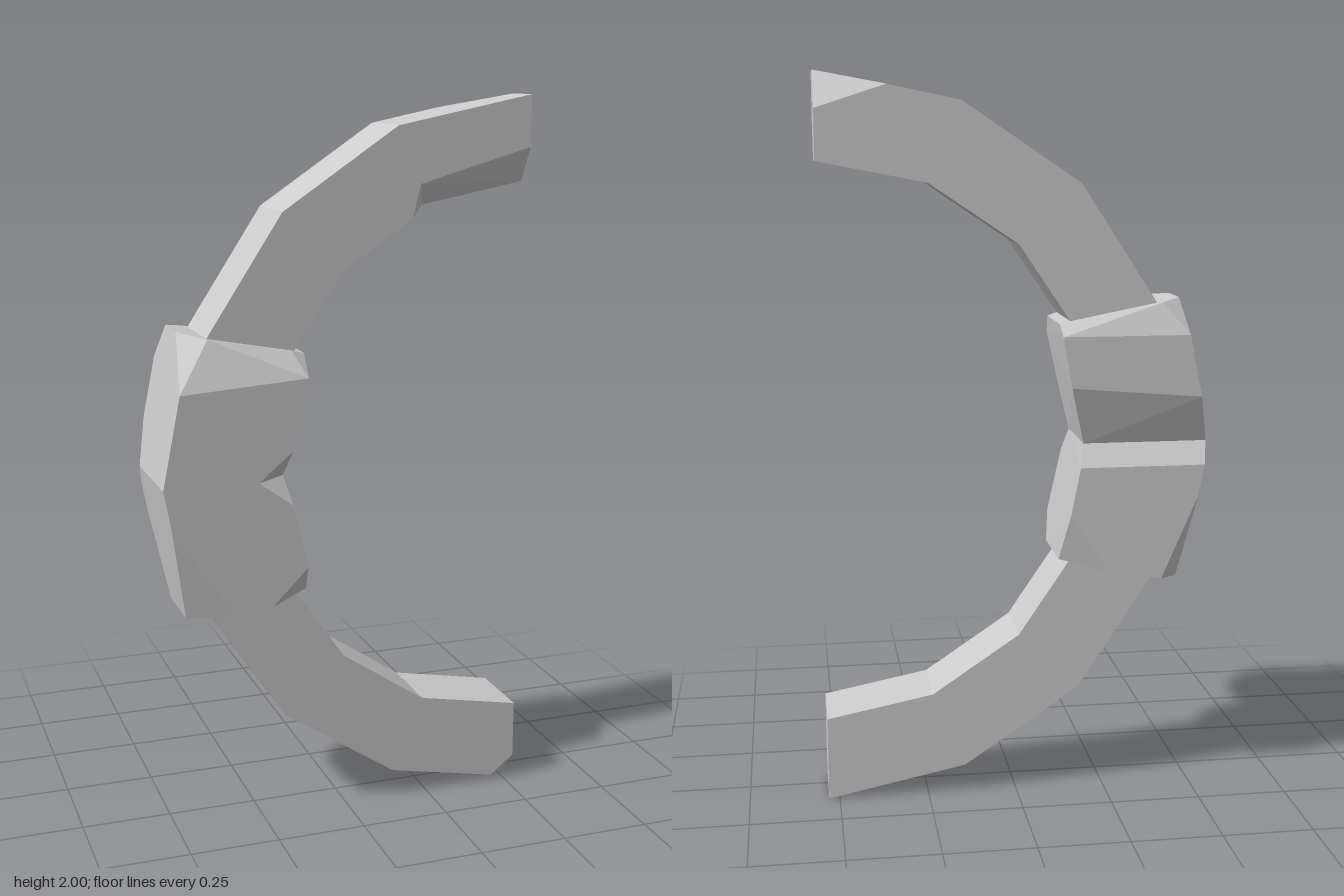
import * as THREE from 'three';
import { ConvexGeometry } from 'three/addons/geometries/ConvexGeometry.js';

const material = new THREE.MeshStandardMaterial({ color: 0xcccccc, flatShading: true });
const FRONT = 0.095, BACK = -0.112;

// Faceted solid spanned by its corner points
function block(name, points) {
  const mesh = new THREE.Mesh(new ConvexGeometry(points.map((p) => new THREE.Vector3(...p))), material);
  mesh.name = name;
  return mesh;
}

// Stations of a limb from tip to grip: [outer x, outer y, inner x, inner y], y above the middle
const stations = [
  [0.53, 1.0, 0.53, 0.765],
  [0.145, 0.922, 0.235, 0.708],
  [-0.178, 0.705, -0.008, 0.545],
  [-0.42, 0.335, -0.17, 0.305],
];

// chips: corner key (station + o/i + f/b) -> points that replace that corner, per segment
function limb(name, side, chips) {
  const group = new THREE.Group();
  group.name = name;
  for (let s = 0; s < 3; s++) {
    const points = [];
    for (const k of [s, s + 1]) {
      const [ox, oy, ix, iy] = stations[k];
      for (const [edge, x, y] of [['o', ox, oy], ['i', ix, iy]]) {
        for (const [face, z] of [['f', FRONT], ['b', BACK]]) {
          const key = k + edge + face;
          points.push(...(chips[s + key] || chips[key] || [[x, 1 + side * y, z]]));
        }
      }
    }
    group.add(block(name + 'Segment', points));
  }
  return group;
}

export function createModel() {
  const model = new THREE.Group();
  model.name = 'bow';

  // Upper limb: long chip under the front edge, small chip at the back of the tip
  model.add(limb('upperLimb', 1, {
    '0if': [[0.53, 1.86, FRONT], [0.53, 1.765, 0.04]],
    '01if': [[0.21, 1.768, FRONT], [0.235, 1.708, 0.04]],
    '11if': [[0.21, 1.768, FRONT], [0.235, 1.708, 0.04], [0.187, 1.676, FRONT]],
    '0ob': [[0.53, 2, -0.025], [0.34, 1.962, BACK], [0.53, 1.9, BACK]],
  }));

  // Lower limb: small chip at the front of the tip
  model.add(limb('lowerLimb', -1, {
    '0of': [[0.53, 0, 0.035], [0.53, 0.07, FRONT], [0.46, 0.014, FRONT]],
  }));

  // Grip: two chipped halves meeting at a waist
  const waist = [
    [-0.53, 1, 0.165], [-0.53, 1, -0.125], [-0.185, 1, -0.125],
    [-0.185, 1, 0.1], [-0.27, 1, 0.165],
  ];
  const grip = new THREE.Group();
  grip.name = 'grip';
  grip.add(block('upperGrip', [
    ...waist,
    // front face
    [-0.175, 1.08, 0.165], [-0.13, 1.275, 0.165], [-0.48, 1.25, 0.165],
    // back face
    [-0.145, 1.16, -0.17], [-0.12, 1.3, -0.17], [-0.47, 1.3, -0.17], [-0.505, 1.13, -0.17],
    // top
    [-0.12, 1.33, 0.09], [-0.16, 1.34, 0.11], [-0.39, 1.383, 0.11], [-0.455, 1.395, 0.03],
    [-0.455, 1.395, -0.09], [-0.4, 1.385, -0.13], [-0.117, 1.33, -0.13],
  ]));
  grip.add(block('lowerGrip', [
    ...waist,
    // front face
    [-0.175, 0.93, 0.165], [-0.135, 0.75, 0.165], [-0.235, 0.65, 0.165],
    [-0.335, 0.63, 0.165], [-0.51, 0.89, 0.165],
    // back face
    [-0.17, 0.94, -0.17], [-0.145, 0.81, -0.17], [-0.25, 0.645, -0.17],
    [-0.4, 0.62, -0.17], [-0.5, 0.85, -0.17], [-0.517, 0.94, -0.17],
    // bottom
    [-0.12, 0.67, 0.1], [-0.12, 0.67, -0.11], [-0.455, 0.61, 0.07], [-0.455, 0.61, -0.11],
  ]));
  model.add(grip);
  return model;
}
